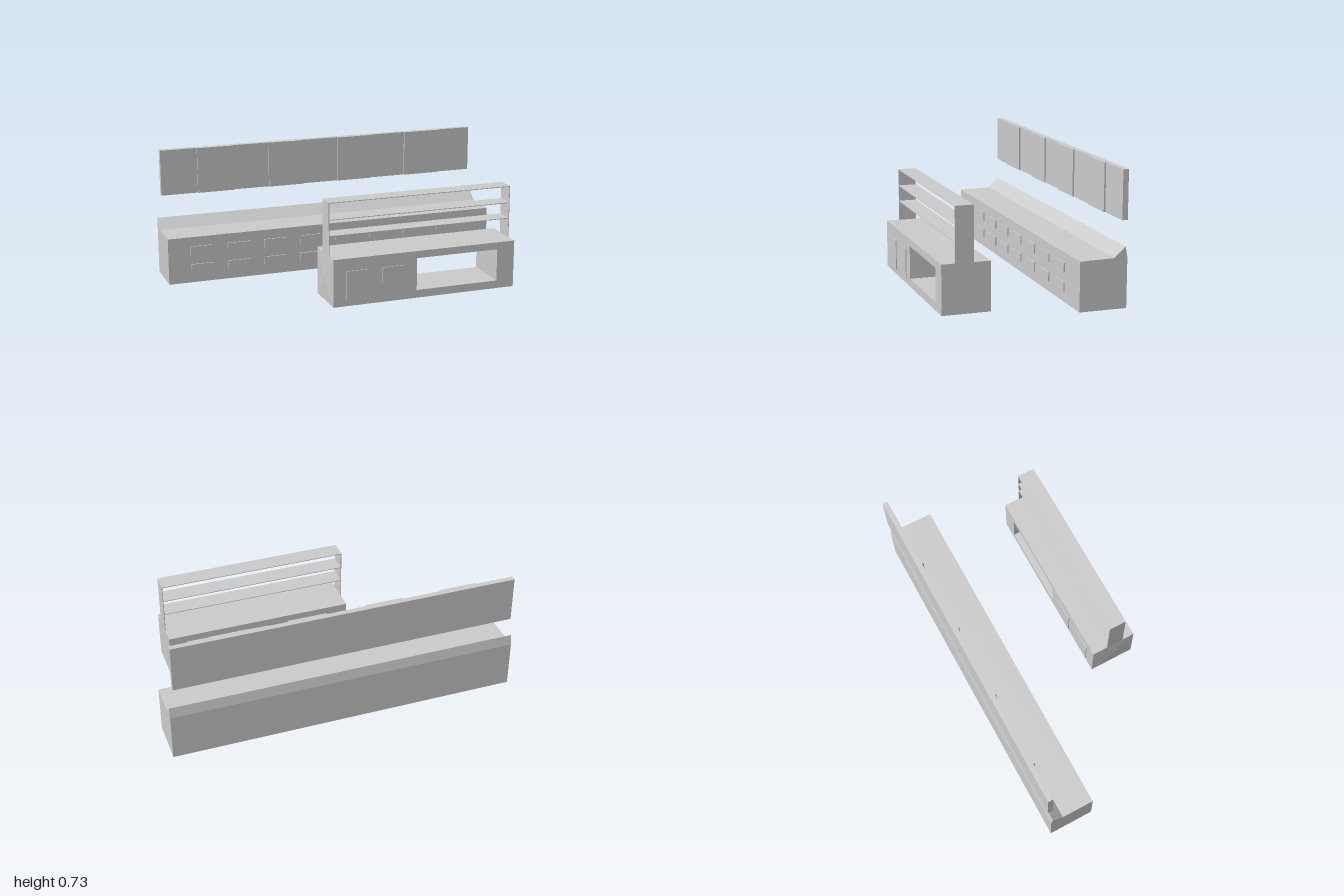
import * as THREE from 'three';

const material = new THREE.MeshStandardMaterial({ color: 0xcccccc, flatShading: true });

// Box given by its minimum and maximum on each axis
function box(parent, name, x0, x1, y0, y1, z0, z1) {
  const mesh = new THREE.Mesh(new THREE.BoxGeometry(x1 - x0, y1 - y0, z1 - z0), material);
  mesh.name = name;
  mesh.position.set((x0 + x1) / 2, (y0 + y1) / 2, (z0 + z1) / 2);
  parent.add(mesh);
  return mesh;
}

function group(parent, name) {
  const g = new THREE.Group();
  g.name = name;
  parent.add(g);
  return g;
}

// Long counter with a raised splashback and two rows of drawers
function buildCounter(parent) {
  const counter = group(parent, 'wallCounter');
  const profile = [[-0.21, 0], [-0.21, 0.27], [-0.4, 0.274], [-0.463, 0.332], [-0.474, 0.272], [-0.474, 0]];
  // Shape x stands for -z, so turning by 90 degrees runs the extrusion along +x
  const shape = new THREE.Shape(profile.map(([z, y]) => new THREE.Vector2(-z, y)));
  const geometry = new THREE.ExtrudeGeometry(shape, { depth: 2, bevelEnabled: false });
  geometry.rotateY(Math.PI / 2).translate(-1, 0, 0);
  const body = new THREE.Mesh(geometry, material);
  body.name = 'counterBody';
  counter.add(body);
  for (let i = 0; i < 8; i++) {
    const x = -0.87 + i * 0.219;
    for (const y of [0.057, 0.163]) box(counter, 'drawerFront', x, x + 0.133, y, y + 0.052, -0.215, -0.203);
  }
}

// Row of wall cabinets, every second door standing proud
function buildWallCabinets(parent) {
  const cabinets = group(parent, 'wallCabinets');
  box(cabinets, 'cabinetBody', -0.975, 0.975, 0.465, 0.732, -0.483, -0.452);
  const width = 1.95 / 9;
  for (let i = 1; i < 9; i += 2) {
    const x = -0.975 + i * width;
    box(cabinets, 'cabinetDoor', x, x + width, 0.465, 0.732, -0.46, -0.443);
  }
}

// Island block with an opening right through it
function buildIsland(parent) {
  const island = group(parent, 'island');
  const shape = new THREE.Shape();
  shape.moveTo(-0.25, 0).lineTo(0.835, 0).lineTo(0.835, 0.271).lineTo(-0.25, 0.271).closePath();
  const hole = new THREE.Path();
  hole.moveTo(0.24, 0.045).lineTo(0.24, 0.23).lineTo(0.73, 0.23).lineTo(0.73, 0.045).closePath();
  shape.holes.push(hole);
  const geometry = new THREE.ExtrudeGeometry(shape, { depth: 0.267, bevelEnabled: false });
  geometry.translate(0, 0, 0.216);
  const body = new THREE.Mesh(geometry, material);
  body.name = 'islandBody';
  island.add(body);

  // Shallow four-sided point on the end panel
  const point = new THREE.ConeGeometry(Math.SQRT1_2, 1, 4, 1, true);
  point.rotateY(Math.PI / 4).rotateZ(Math.PI / 2).scale(0.007, 0.271, 0.267);
  const end = new THREE.Mesh(point, material);
  end.name = 'endPanel';
  end.position.set(-0.2535, 0.1355, 0.3495);
  island.add(end);

  // Doors on both long sides
  for (const x of [-0.175, 0.035]) {
    box(island, 'islandDoor', x, x + 0.136, 0.03, 0.2, 0.211, 0.488);
  }

  // Open shelf rack on the worktop
  const rack = group(island, 'shelfRack');
  const t = 0.004;
  box(rack, 'rackSide', -0.25, -0.25 + t, 0.271, 0.571, 0.308, 0.41);
  box(rack, 'rackSide', 0.835 - t, 0.835, 0.271, 0.571, 0.308, 0.41);
  for (const y of [0.385, 0.476, 0.571]) {
    box(rack, 'shelf', -0.25 + t, 0.835 - t, y - t, y, 0.308, 0.41);
  }
}

export function createModel() {
  const model = new THREE.Group();
  model.name = 'kitchen';
  buildCounter(model);
  buildWallCabinets(model);
  buildIsland(model);
  return model;
}
